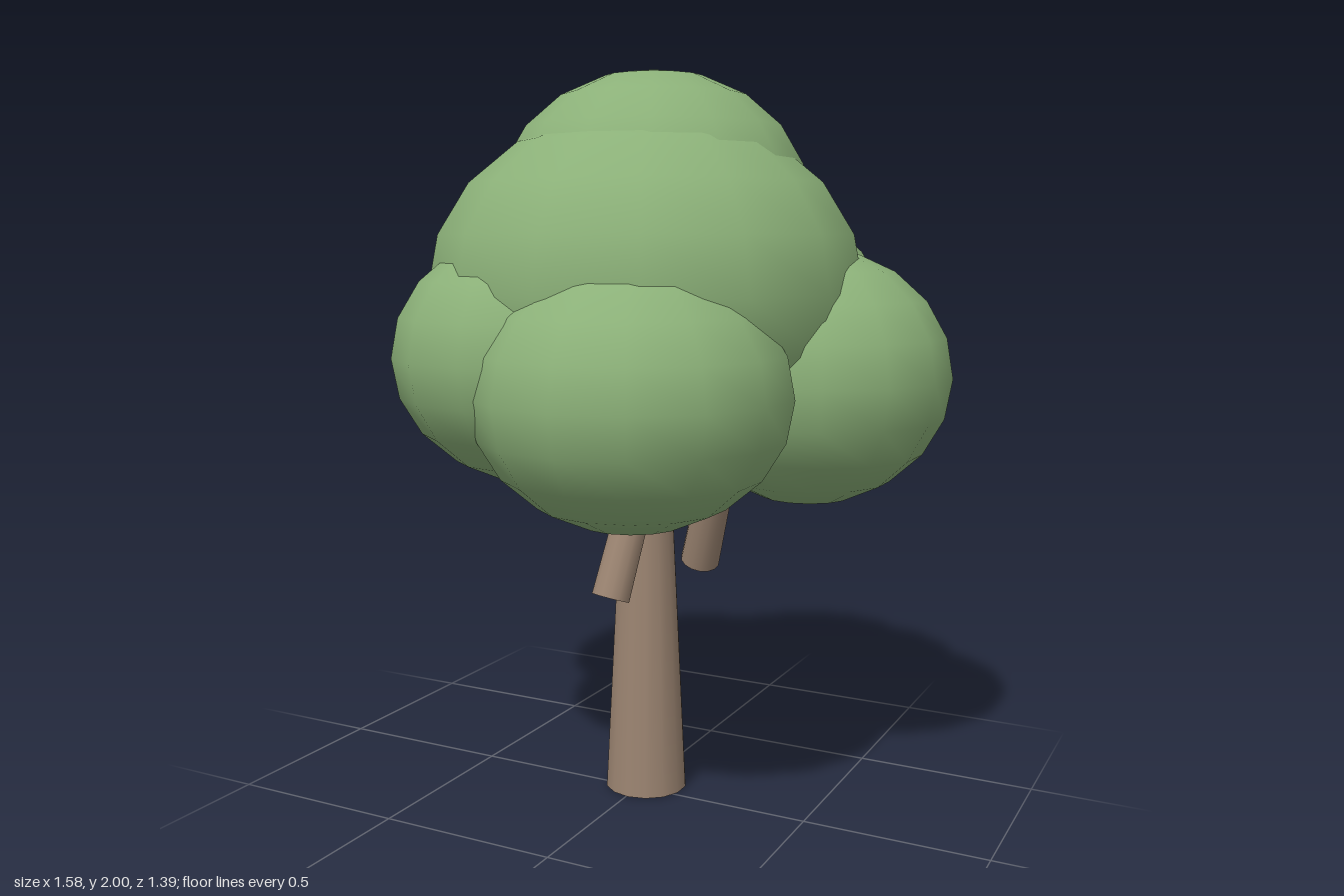
import * as THREE from 'three';

const leaf = new THREE.MeshStandardMaterial({ name: 'leafGreen', color: 0x8bb078 });
const bark = new THREE.MeshStandardMaterial({ name: 'barkBrown', color: 0x9b8471 });

// Slightly flattened leaf clump: centre, horizontal radius, vertical radius
function clump(name, [x, y, z], radius, height) {
  const mesh = new THREE.Mesh(new THREE.SphereGeometry(1, 14, 10), leaf);
  mesh.name = name;
  mesh.rotation.y = Math.PI / 2;
  mesh.scale.set(radius, height, radius);
  mesh.position.set(x, y, z);
  return mesh;
}

// Tapered round limb running between two points
function limb(name, from, to, rBottom, rTop) {
  const a = new THREE.Vector3(...from);
  const b = new THREE.Vector3(...to);
  const dir = b.clone().sub(a);
  const mesh = new THREE.Mesh(new THREE.CylinderGeometry(rTop, rBottom, dir.length(), 14), bark);
  mesh.name = name;
  mesh.position.copy(a).add(b).multiplyScalar(0.5);
  mesh.quaternion.setFromUnitVectors(new THREE.Vector3(0, 1, 0), dir.normalize());
  return mesh;
}

export function createModel() {
  const tree = new THREE.Group();
  tree.name = 'tree';

  // Trunk and the stem that carries on into the crown
  tree.add(limb('trunk', [0.005, 0, -0.04], [0.005, 0.76, -0.04], 0.115, 0.077));
  tree.add(limb('upperStem', [0.01, 0.68, -0.05], [0.01, 1.2, -0.06], 0.055, 0.045));

  // Loose branches around the trunk, reaching up into the leaves
  tree.add(limb('frontBranch', [0.018, 0.605, 0.195], [0.075, 1.05, 0.05], 0.052, 0.045));
  tree.add(limb('leftBranch', [0.11, 0.64, -0.17], [0.245, 1.05, -0.05], 0.055, 0.046));
  tree.add(limb('rightBranch', [-0.075, 0.65, -0.09], [-0.205, 1.05, -0.13], 0.045, 0.04));

  // Crown
  const crown = new THREE.Group();
  crown.name = 'crown';
  [
    ['topClump', [0, 1.63, -0.09], 0.43, 0.37],
    ['mainClump', [0, 1.41, -0.045], 0.59, 0.485],
    ['rightClump', [-0.385, 1.22, -0.216], 0.415, 0.37],
    ['leftClump', [0.41, 1.18, -0.21], 0.387, 0.35],
    ['frontRightClump', [-0.185, 1.24, 0.19], 0.4, 0.34],
    ['frontLeftClump', [0.129, 1.16, 0.283], 0.41, 0.345],
    ['backClump', [0.195, 1.31, -0.315], 0.385, 0.345],
  ].forEach((c) => crown.add(clump(...c)));
  tree.add(crown);

  return tree;
}
